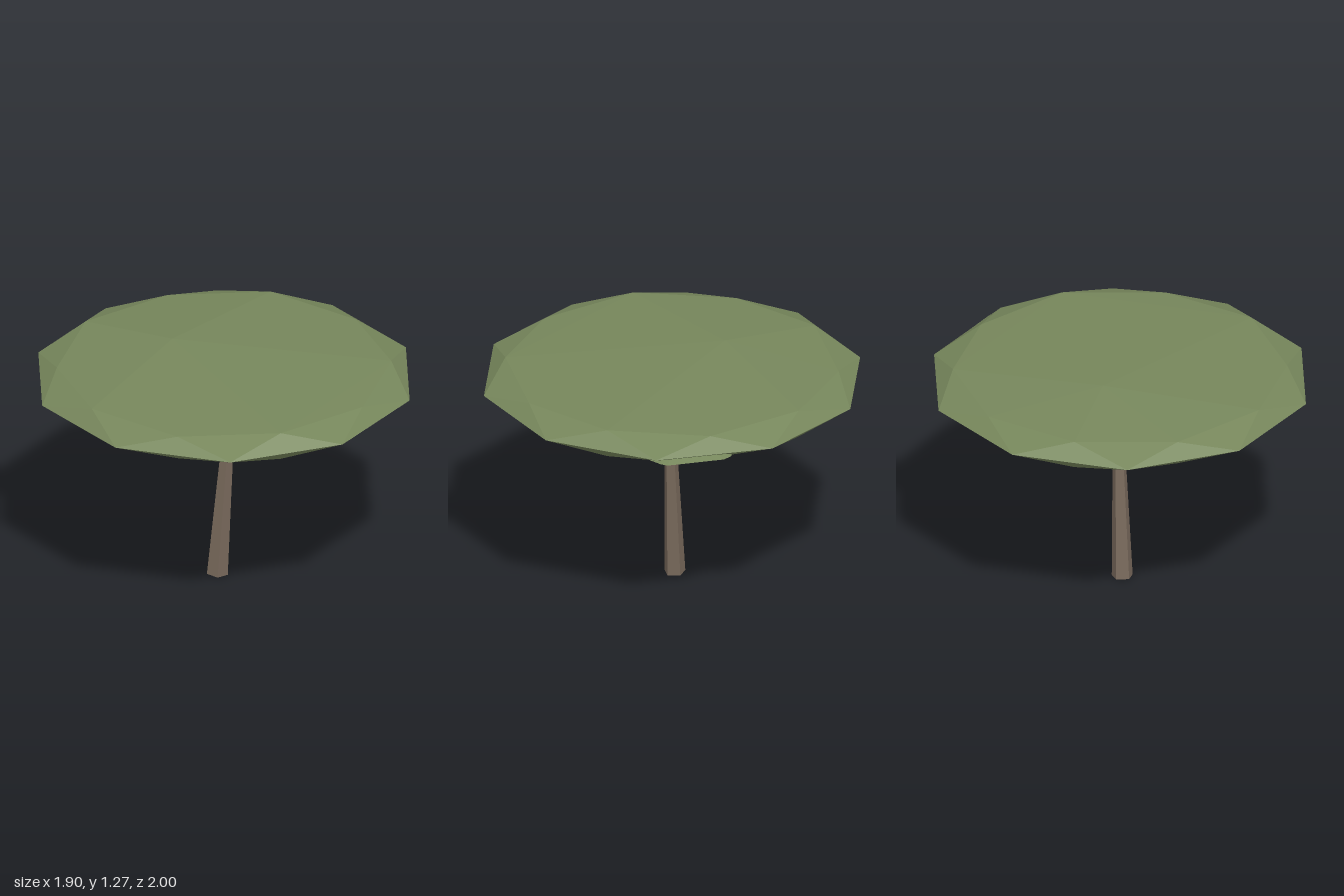
import * as THREE from 'three';
import { ConvexGeometry } from 'three/addons/geometries/ConvexGeometry.js';

const V = (x, y, z) => new THREE.Vector3(x, y, z);

export function createModel() {
  const bark = new THREE.MeshStandardMaterial({ color: 0x78695b, flatShading: true });
  bark.name = 'bark brown';
  const leaf = new THREE.MeshStandardMaterial({ color: 0x76865b, flatShading: true });
  leaf.name = 'leaf green';

  const tree = new THREE.Group();
  tree.name = 'flatToppedTree';

  const add = (name, geometry, material) => {
    const mesh = new THREE.Mesh(geometry, material);
    mesh.name = name;
    tree.add(mesh);
    return mesh;
  };

  // Tapered five-sided limb between two points
  const limb = (name, from, to, r0, r1) => {
    const dir = to.clone().sub(from);
    const mesh = add(name, new THREE.CylinderGeometry(r1, r0, dir.length(), 5), bark);
    mesh.position.copy(from).add(to).multiplyScalar(0.5);
    mesh.quaternion.setFromUnitVectors(V(0, 1, 0), dir.normalize());
  };

  // Ten points on a level circle
  const ring = (r, y, offset, height = () => 0) =>
    Array.from({ length: 10 }, (_, i) => {
      const a = THREE.MathUtils.degToRad(offset + i * 36);
      return V(Math.cos(a) * r, y + height(i), Math.sin(a) * r);
    });

  // Leaning trunk and three spreading branches that end inside the crown
  limb('trunk', V(-0.035, 0.003, 0), V(0.027, 0.885, 0), 0.057, 0.029);
  limb('frontBranch', V(-0.012, 0.74, 0.022), V(-0.045, 1.09, 0.205), 0.034, 0.015);
  limb('leftBranch', V(0.03, 0.745, -0.01), V(0.2, 1.09, -0.055), 0.034, 0.015);
  limb('rightBranch', V(-0.018, 0.745, -0.015), V(-0.155, 1.09, -0.145), 0.034, 0.015);

  // Wide faceted crown: rim, bevel rings, off-centre peak and underside point
  const alternate = (i) => (i % 2 ? -0.008 : 0.004);
  add('crown', new ConvexGeometry([
    ...ring(1, 1.137, 18),
    ...ring(0.865, 1.21, 0, alternate),
    ...ring(0.865, 1.07, 0, (i) => -alternate(i)),
    V(-0.26, 1.265, -0.19),
    V(-0.1, 1.01, 0.3),
  ]), leaf);

  // Small leaf pad poking out under the rim
  const pad = [[0.71, -0.63], [0.76, -0.61], [0.94, -0.37], [0.94, -0.33], [0.87, -0.12],
    [0.7, -0.02], [0.45, -0.1], [0.35, -0.33], [0.46, -0.56]];
  const cx = 0.64, cz = -0.33;
  add('leafPad', new ConvexGeometry(pad.flatMap(([x, z]) => [
    V(x, 1.114, z),
    ...[1.132, 1.094].map((y) => V(cx + (x - cx) * 0.82, y, cz + (z - cz) * 0.82)),
  ])), leaf);

  return tree;
}
